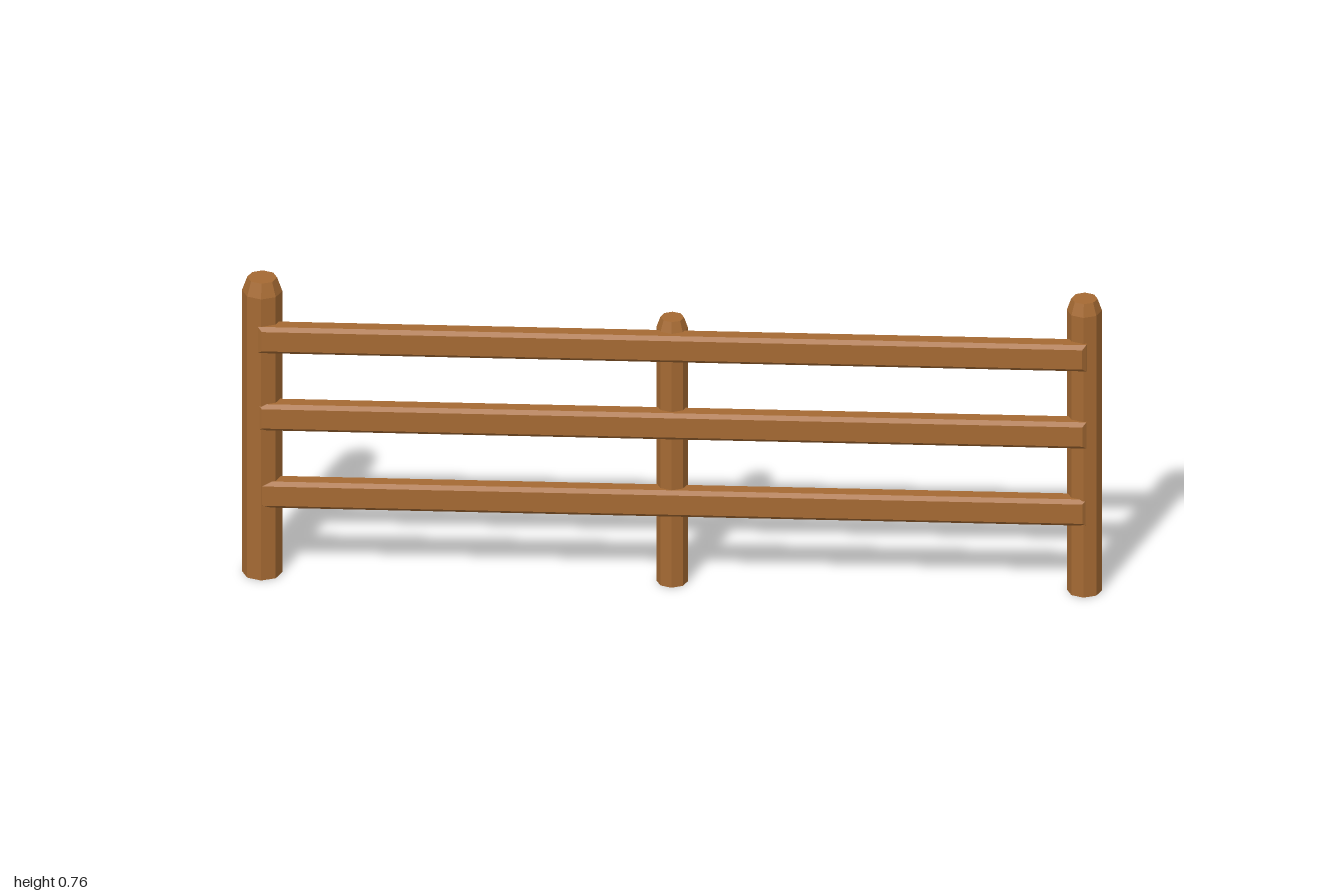
import * as THREE from 'three';

const wood = new THREE.MeshStandardMaterial({ color: 0xa56a33 });
wood.name = 'wood';
wood.flatShading = true;

// Eight-sided post with a chamfered top
function makePost(name, x, radius, height) {
  const profile = [
    [0, 0], [radius, 0], [radius, height - radius * 0.74],
    [radius * 0.74, height], [0, height],
  ].map(([r, y]) => new THREE.Vector2(r, y));
  const post = new THREE.Mesh(new THREE.LatheGeometry(profile, 8), wood);
  post.name = name;
  post.position.set(x, 0, -0.003);
  return post;
}

// Long rail with chamfered edges and ends
function makeRail(name, y, frontZ) {
  const length = 1.925, height = 0.068, depth = 0.048, c = 0.009;
  const w = length / 2 - c, h = height / 2 - c;
  const shape = new THREE.Shape([
    new THREE.Vector2(-w, -h), new THREE.Vector2(w, -h),
    new THREE.Vector2(w, h), new THREE.Vector2(-w, h),
  ]);
  const geometry = new THREE.ExtrudeGeometry(shape, {
    depth: depth - 2 * c, bevelEnabled: true, bevelSegments: 1, bevelSize: c, bevelThickness: c,
  });
  geometry.translate(0, 0, c - depth);
  const rail = new THREE.Mesh(geometry, wood);
  rail.name = name;
  rail.position.set(0.002, y, frontZ);
  return rail;
}

export function createModel() {
  const fence = new THREE.Group();
  fence.name = 'fence';
  fence.add(
    makePost('rightPost', -0.953, 0.047, 0.765),
    makePost('middlePost', 0, 0.037, 0.685),
    makePost('leftPost', 0.958, 0.041, 0.757),
    makeRail('topRail', 0.625, 0.053),
    makeRail('middleRail', 0.422, 0.048),
    makeRail('bottomRail', 0.219, 0.043),
  );
  return fence;
}
